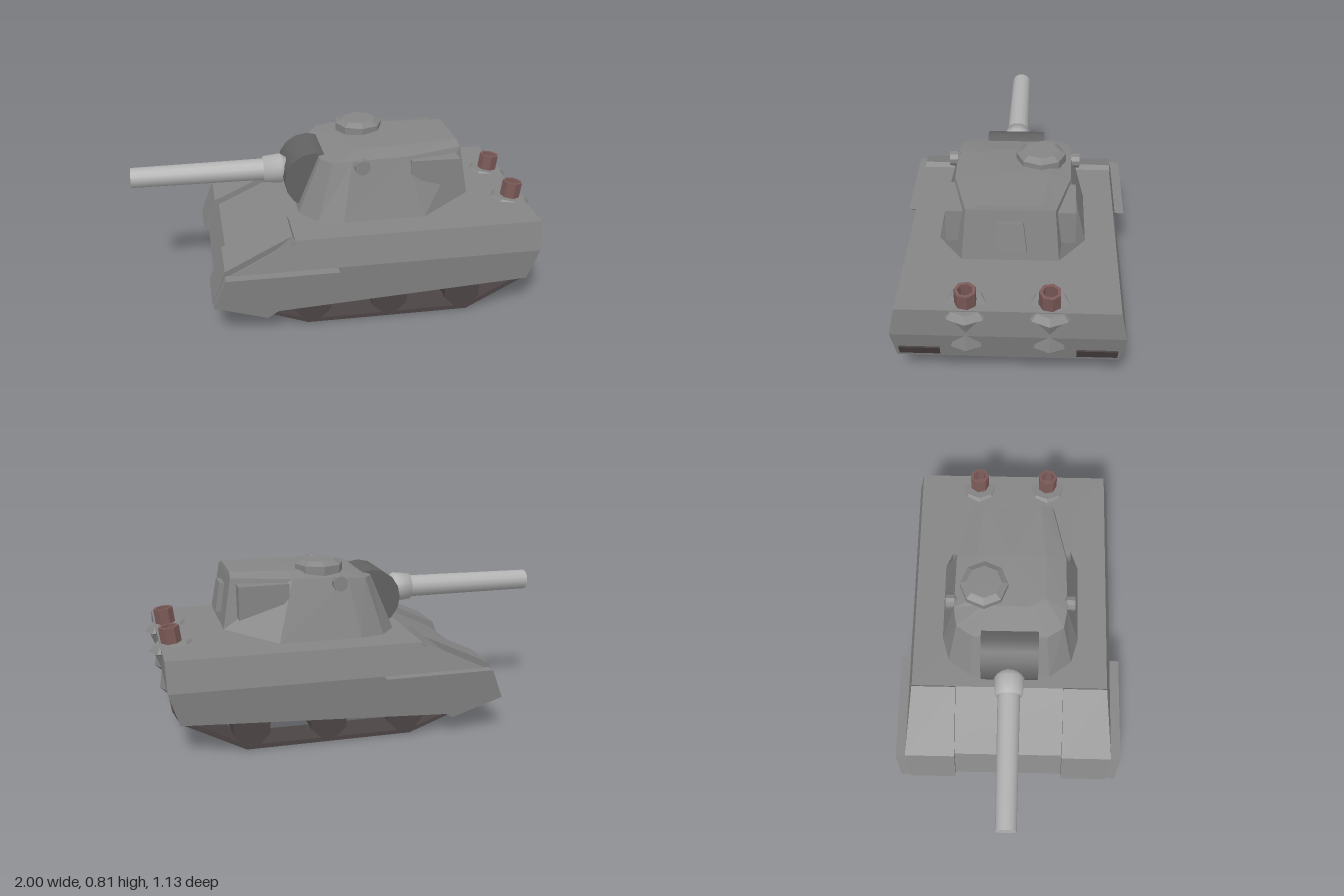
import * as THREE from 'three';

const mat = (name, color) => {
  const m = new THREE.MeshStandardMaterial({ color });
  m.name = name;
  return m;
};

export function createModel() {
  const group = new THREE.Group();
  const armour = mat('armour grey', 0x858585);
  const dark = mat('mantlet dark grey', 0x626262);
  const steel = mat('barrel light grey', 0xb2b2b2);
  const tread = mat('track brown black', 0x4c4444);
  const rust = mat('exhaust red brown', 0x7a5a58);

  const add = (name, geometry, material, x = 0, y = 0, z = 0) => {
    const mesh = new THREE.Mesh(geometry, material);
    mesh.name = name;
    mesh.position.set(x, y, z);
    group.add(mesh);
    return mesh;
  };
  const flat = (g) => {
    const f = g.index ? g.toNonIndexed() : g;
    f.computeVertexNormals();
    return f;
  };
  const v2 = (pts) => pts.map(([x, y]) => new THREE.Vector2(x, y));
  const lathe = (pts, sides) => new THREE.LatheGeometry(v2(pts), sides);

  // Side profile extruded across z, between two widths that may vary with height
  const slab = (pts, near, far, hole) => {
    const shape = new THREE.Shape(v2(pts));
    if (hole) shape.holes.push(new THREE.Path(v2(hole)));
    const g = new THREE.ExtrudeGeometry(shape, { depth: 1, bevelEnabled: false });
    const p = g.attributes.position;
    for (let i = 0; i < p.count; i++) {
      p.setZ(i, p.getZ(i) < 0.5 ? near(p.getY(i)) : far(p.getY(i)));
    }
    return flat(g);
  };
  // The same on side s (+1 or -1), from an inner to an outer distance
  const sideSlab = (s, pts, inner, outer, hole) => s > 0
    ? slab(pts, inner, outer, hole)
    : slab(pts, (y) => -outer(y), (y) => -inner(y), hole);

  // Hull, widest at the belt line
  const hullW = (y) => (y > 0.31 ? 0.52 - (y - 0.31) * 0.2 : 0.52 - (0.31 - y) * 0.13);
  const hullIn = (y) => -hullW(y);
  add('lowerHull', slab([[-0.63, 0.16], [-0.4, 0.08], [0.89, 0.15], [0.94, 0.31], [-0.57, 0.31]],
    hullIn, hullW), armour);
  add('upperHull', slab([[-0.57, 0.31], [0.94, 0.31], [0.945, 0.455], [-0.26, 0.455]],
    hullIn, hullW), armour);

  // Turret from stacked rings: half outline [x, y, z], front to rear
  const rings = [
    [[-0.2, 0.455, 0.2], [-0.12, 0.455, 0.31], [0, 0.455, 0.345], [0.4, 0.455, 0.345], [0.645, 0.51, 0.22]],
    [[-0.09, 0.725, 0.18], [-0.04, 0.732, 0.26], [0.05, 0.74, 0.275], [0.32, 0.745, 0.27], [0.605, 0.75, 0.2]],
    [[0.06, 0.752, 0.08], [0.07, 0.754, 0.12], [0.1, 0.758, 0.17], [0.32, 0.767, 0.17], [0.6, 0.77, 0.14]],
  ].map((half) => [...half, ...half.map(([x, y, z]) => [x, y, -z]).reverse()]);
  const tris = [];
  const n = rings[0].length;
  for (let j = 0; j < n; j++) {
    const k = (j + 1) % n;
    for (let r = 0; r < 2; r++) {
      const [a, b, c, d] = [rings[r][j], rings[r][k], rings[r + 1][k], rings[r + 1][j]];
      tris.push(a, b, c, a, c, d);
    }
    tris.push([0.25, 0.455, 0], rings[0][k], rings[0][j]);
    tris.push([0.32, 0.768, 0], rings[2][j], rings[2][k]);
  }
  const turret = new THREE.BufferGeometry();
  turret.setAttribute('position', new THREE.Float32BufferAttribute(tris.flat(), 3));
  add('turret', flat(turret), armour);

  // Rear turret hatch
  const hatch = new THREE.CylinderGeometry(0.083, 0.106, 0.14, 4, 1).rotateY(Math.PI / 4);
  hatch.scale(0.25, 1, 1);
  add('rearHatch', flat(hatch), armour, 0.635, 0.63, 0).rotation.z = 0.15;

  // Cupola with a bevelled lid
  add('cupola', flat(lathe([[0, 0], [0.118, 0], [0.118, 0.045], [0.085, 0.065], [0, 0.065]], 8)),
    armour, 0.16, 0.745, -0.13);

  // Gun and its rounded mantlet
  add('mantlet', new THREE.CylinderGeometry(0.145, 0.145, 0.28, 16).rotateX(Math.PI / 2),
    dark, -0.112, 0.595, 0);
  add('gunBarrel', new THREE.CylinderGeometry(0.05, 0.055, 0.7, 14).rotateZ(Math.PI / 2),
    steel, -0.65, 0.615, 0);
  add('gunCollar', lathe([[0, -0.07], [0.045, -0.07], [0.075, -0.025], [0.066, 0.06], [0, 0.06]], 14)
    .rotateZ(Math.PI / 2), steel, -0.29, 0.615, 0);

  for (const s of [1, -1]) {
    // Raised front fender and outer side plate
    add('frontFender', sideSlab(s,
      [[-0.655, 0.165], [-0.4, 0.085], [-0.255, 0.45], [-0.27, 0.48], [-0.59, 0.335]],
      () => 0.27, (y) => hullW(y) + 0.003), armour);
    add('sidePlate', sideSlab(s, [[-0.65, 0.165], [-0.4, 0.08], [-0.06, 0.31], [-0.59, 0.312]],
      () => 0.48, (y) => 0.567 - (0.31 - y) * 0.13), armour);

    // Turret stowage wedge
    add('turretBox', sideSlab(s, [[0.34, 0.64], [0.58, 0.565], [0.58, 0.725], [0.34, 0.728]],
      () => 0.2, () => 0.293), armour);

    // Rangefinder stub
    const stub = lathe([[0, 0], [0.015, 0], [0.015, 0.09], [0.037, 0.12], [0.037, 0.16], [0, 0.16]], 10)
      .rotateX(s * Math.PI / 2);
    add('rangefinder', flat(stub), armour, 0.095, 0.718, s * 0.155);

    // Track belt, open inside, with road wheels
    add('track', sideSlab(s,
      [[-0.42, 0.085], [-0.2, 0.004], [0.59, 0], [0.89, 0.155], [0.922, 0.22], [-0.42, 0.22]],
      () => 0.305, () => 0.488,
      [[-0.38, 0.088], [-0.195, 0.022], [0.585, 0.022], [0.87, 0.17], [0.88, 0.2], [-0.38, 0.2]]), tread);
    for (const x of [-0.175, 0.2, 0.565]) {
      const wheel = new THREE.CylinderGeometry(0.093, 0.093, 0.19, 8).rotateY(Math.PI / 8).rotateX(Math.PI / 2);
      add('roadWheel', flat(wheel), tread, x, 0.108, s * 0.396);
    }

    // Exhaust housing with a hollow pipe, leaning back
    const housing = lathe([[0, -0.22], [0.07, -0.22], [0.095, -0.19], [0.068, -0.1], [0.088, -0.02],
      [0.112, -0.005], [0.085, 0.022], [0, 0.022]], 8);
    add('exhaustHousing', flat(housing), armour, 0.885, 0.435, s * 0.183).rotation.z = -0.13;
    const pipe = lathe([[0.05, 0], [0.05, 0.095], [0.034, 0.095], [0.034, 0.03], [0, 0.03]], 7);
    add('exhaustPipe', flat(pipe), rust, 0.888, 0.44, s * 0.183).rotation.z = -0.13;
  }
  return group;
}
